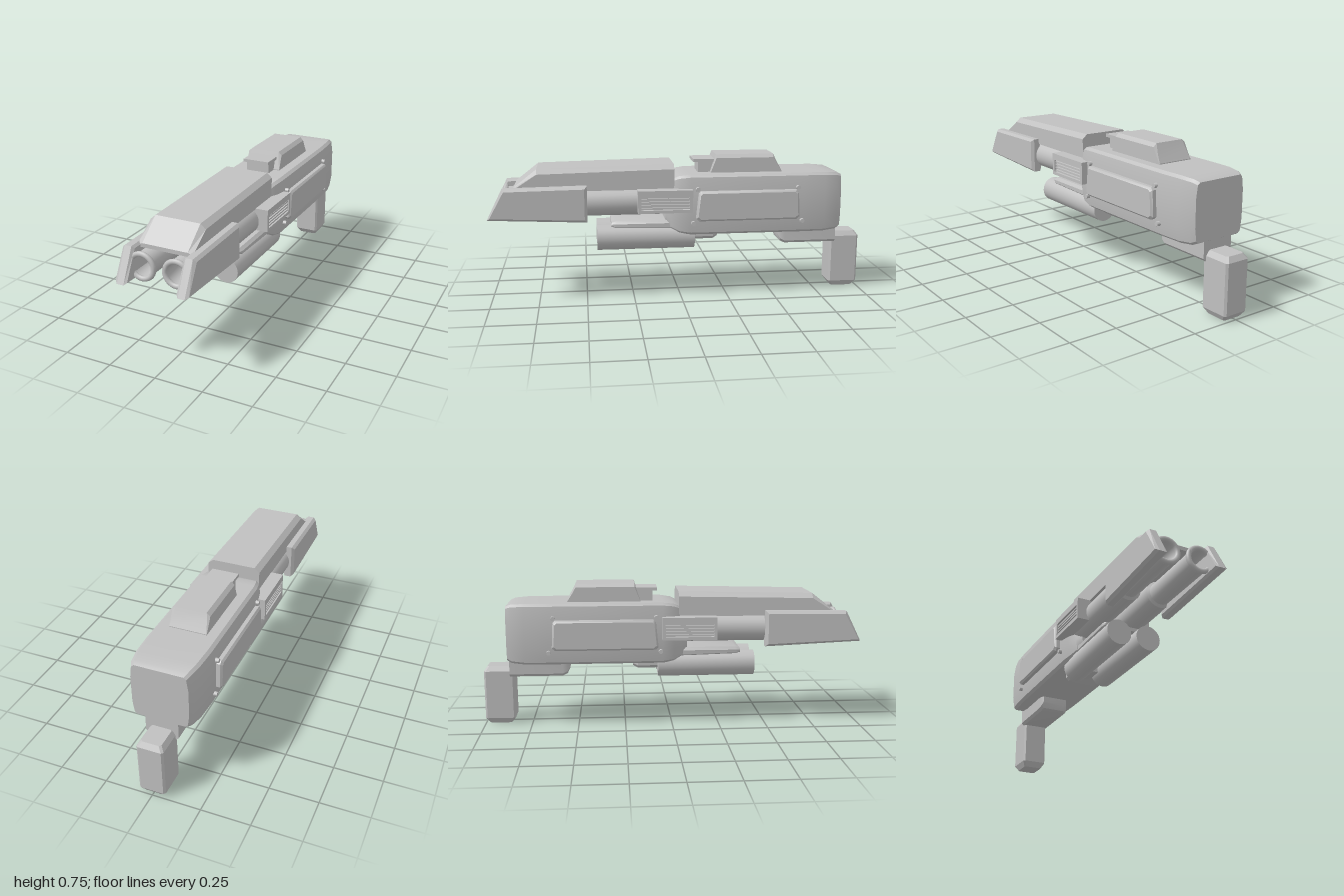
import * as THREE from 'three';
import { toCreasedNormals } from 'three/addons/utils/BufferGeometryUtils.js';

const grey = new THREE.MeshStandardMaterial({ color: 0xc0c0c0 });
grey.name = 'grey';

// Skin a stack of equal-length rings (counter-clockwise, stacked towards +z) and cap both ends
function loft(rings) {
  const n = rings[0].length, pos = [], idx = [];
  rings.forEach(r => r.forEach(p => pos.push(...p)));
  for (let i = 0; i < rings.length - 1; i++) {
    for (let j = 0; j < n; j++) {
      const a = i * n + j, b = i * n + (j + 1) % n;
      idx.push(a, b, b + n, a, b + n, a + n);
    }
  }
  const last = (rings.length - 1) * n;
  for (let j = 1; j < n - 1; j++) idx.push(0, j + 1, j, last, last + j, last + j + 1);
  const g = new THREE.BufferGeometry();
  g.setAttribute('position', new THREE.Float32BufferAttribute(pos, 3));
  g.setIndex(idx);
  return g;
}

// Ring mirrored about x = 0 from its right half, listed bottom to top
function ring(z, half) {
  return [...half, ...half.slice().reverse().map(([x, y]) => [-x, y])].map(([x, y]) => [x, y, z]);
}

// Chamfered rectangle: half width, bottom, top, bottom chamfer, top chamfer
const rect = (z, w, y0, y1, c0 = 0.015, c1 = c0) =>
  ring(z, [[w - c0, y0], [w, y0 + c0], [w, y1 - c1], [w - c1, y1]]);

// Plate with a [z, y] outline, built outwards along +x; levels are [x, inset]
function sidePlate(outline, levels) {
  const zs = outline.map(p => p[0]), ys = outline.map(p => p[1]);
  const z0 = Math.min(...zs), z1 = Math.max(...zs), y0 = Math.min(...ys), y1 = Math.max(...ys);
  const cz = (z0 + z1) / 2, cy = (y0 + y1) / 2;
  const g = loft(levels.map(([x, inset]) => outline.map(([z, y]) => [
    -(cz + (z - cz) * (1 - 2 * inset / (z1 - z0))),
    cy + (y - cy) * (1 - 2 * inset / (y1 - y0)), x])));
  return g.rotateY(Math.PI / 2);
}

// Copy a geometry to the other side of x = 0, keeping faces outward
function mirror(g) {
  const m = g.index ? g.toNonIndexed() : g.clone();
  const p = m.attributes.position;
  for (let i = 0; i < p.count; i += 3) {
    const v = [0, 2, 1].map(k => [-p.getX(i + k), p.getY(i + k), p.getZ(i + k)]);
    v.forEach((q, k) => p.setXYZ(i + k, ...q));
  }
  return m;
}

const box = (w, h, d, x, y, z) => new THREE.BoxGeometry(w, h, d).translate(x, y, z);

export function createModel() {
  const model = new THREE.Group();
  model.name = 'blaster';

  const add = (name, g, crease = 0.5) => {
    const mesh = new THREE.Mesh(toCreasedNormals(g, crease), grey);
    mesh.name = name;
    model.add(mesh);
  };
  const pair = (name, g, crease) => {
    add(name + 'Left', g, crease);
    add(name + 'Right', mirror(g), crease);
  };

  // Main body: slightly bulged sides, rounded ends
  const bodyRing = (z, w, y0, y1) => {
    const h = y1 - y0;
    return ring(z, [
      [w * 0.85, y0], [w * 0.94, y0 + h * 0.04], [w, y0 + h * 0.25],
      [w, y0 + h * 0.75], [w * 0.94, y1 - h * 0.04], [w * 0.85, y1]]);
  };
  add('body', loft([
    bodyRing(-0.865, 0.145, 0.36, 0.645),
    bodyRing(-0.84, 0.157, 0.347, 0.655),
    bodyRing(-0.77, 0.17, 0.34, 0.66),
    bodyRing(-0.65, 0.176, 0.34, 0.66),
    bodyRing(-0.05, 0.176, 0.34, 0.66),
    bodyRing(0.01, 0.163, 0.348, 0.652),
    bodyRing(0.055, 0.14, 0.37, 0.63),
    bodyRing(0.08, 0.115, 0.4, 0.6)]));

  // Front hood with sloping nose
  const hoodRing = (z, shoulder, top) =>
    ring(z, [[0.145, 0.585], [0.145, shoulder], [0.118, top]]);
  add('hood', loft([
    hoodRing(0.035, 0.69, 0.714),
    hoodRing(0.745, 0.675, 0.699),
    hoodRing(0.865, 0.597, 0.605)]), 0.2);

  // Twin hollow barrels with rounded rims
  const barrel = new THREE.LatheGeometry([
    [0, 0.02], [0.073, 0.02], [0.073, 0.55], [0.06, 0.56], [0.06, 0.915],
    [0.05, 0.915], [0.05, 0.82], [0.035, 0.79], [0, 0.775]
  ].map(p => new THREE.Vector2(...p)), 28).rotateX(Math.PI / 2).translate(0.09, 0.518, 0);
  pair('barrel', barrel, 0.6);
  pair('barrelRim', new THREE.TorusGeometry(0.061, 0.013, 10, 28).translate(0.09, 0.518, 0.918), 1);

  // Blades flanking the muzzle
  pair('muzzleBlade', sidePlate(
    [[1, 0.448], [0.49, 0.425], [0.49, 0.615], [0.92, 0.608]],
    [[0.128, 0.012], [0.14, 0], [0.175, 0], [0.19, 0.014]]), 0.2);

  // Lower twin tubes and the rail above them
  pair('lowerTube', new THREE.CylinderGeometry(0.067, 0.067, 0.515, 32)
    .rotateX(Math.PI / 2).translate(0.082, 0.322, 0.183));
  add('lowerRail', loft([
    rect(-0.03, 0.13, 0.37, 0.415, 0.005, 0.015),
    rect(0.34, 0.13, 0.38, 0.415, 0.005, 0.015),
    rect(0.365, 0.12, 0.385, 0.405, 0.005, 0.008)]));
  add('tubeBracket', loft([
    rect(-0.205, 0.075, 0.31, 0.35, 0.012),
    rect(-0.18, 0.09, 0.298, 0.35, 0.015),
    rect(0.0, 0.09, 0.298, 0.36, 0.015)]));

  // Side vents: open frame with slats
  pair('ventBack', box(0.075, 0.118, 0.285, 0.157, 0.53, 0.0875));
  pair('ventFrameTop', box(0.02, 0.034, 0.285, 0.203, 0.572, 0.0875));
  pair('ventFrameBottom', box(0.02, 0.016, 0.285, 0.203, 0.479, 0.0875));
  for (const z of [-0.047, 0.222]) {
    pair('ventFramePost', box(0.02, 0.07, 0.016, 0.203, 0.52, z));
  }
  for (let i = 0; i < 4; i++) {
    pair('ventSlat', box(0.014, 0.008, 0.255, 0.2, 0.495 + i * 0.016, 0.0875));
  }

  // Raised side panels with clipped corners
  pair('sidePanel', sidePlate(
    [[-0.09, 0.42], [-0.61, 0.42], [-0.627, 0.435], [-0.62, 0.565], [-0.608, 0.577],
      [-0.1, 0.577], [-0.088, 0.565], [-0.075, 0.435]],
    [[0.165, 0], [0.196, 0], [0.206, 0.01]]));

  // Bolts around each panel
  for (const [z, y] of [[-0.085, 0.587], [-0.62, 0.587], [-0.062, 0.407], [-0.645, 0.407]]) {
    pair('bolt', new THREE.CylinderGeometry(0.011, 0.013, 0.03, 14)
      .rotateZ(-Math.PI / 2).translate(0.177, y, z));
  }

  // Top housing and the sight plate in front of it
  add('topHousing', loft([
    rect(-0.548, 0.098, 0.65, 0.664, 0.002),
    rect(-0.52, 0.098, 0.65, 0.715, 0.002, 0.01),
    rect(-0.502, 0.098, 0.65, 0.755, 0.002, 0.018),
    rect(-0.195, 0.098, 0.65, 0.755, 0.002, 0.018),
    rect(-0.165, 0.098, 0.65, 0.664, 0.002)]), 0.3);
  add('sightPlate', box(0.146, 0.016, 0.12, 0, 0.722, -0.135));
  add('sightSupport', box(0.13, 0.07, 0.085, 0, 0.682, -0.142));

  // Mount under the rear of the body
  add('gripMount', loft([
    rect(-0.862, 0.085, 0.26, 0.37, 0.014),
    rect(-0.58, 0.085, 0.26, 0.37, 0.014),
    rect(-0.555, 0.08, 0.272, 0.37, 0.014),
    rect(-0.542, 0.07, 0.3, 0.37, 0.01)]));

  // Rear grip: chamfered column stacked upwards
  const gripRing = (y, w, d) => rect(y, w, -d, d, 0.01);
  add('grip', loft([
    gripRing(0, 0.052, 0.058),
    gripRing(0.03, 0.069, 0.08),
    gripRing(0.287, 0.069, 0.08),
    gripRing(0.313, 0.052, 0.062)]).rotateX(-Math.PI / 2).translate(0, 0, -0.92), 0.3);

  return model;
}
